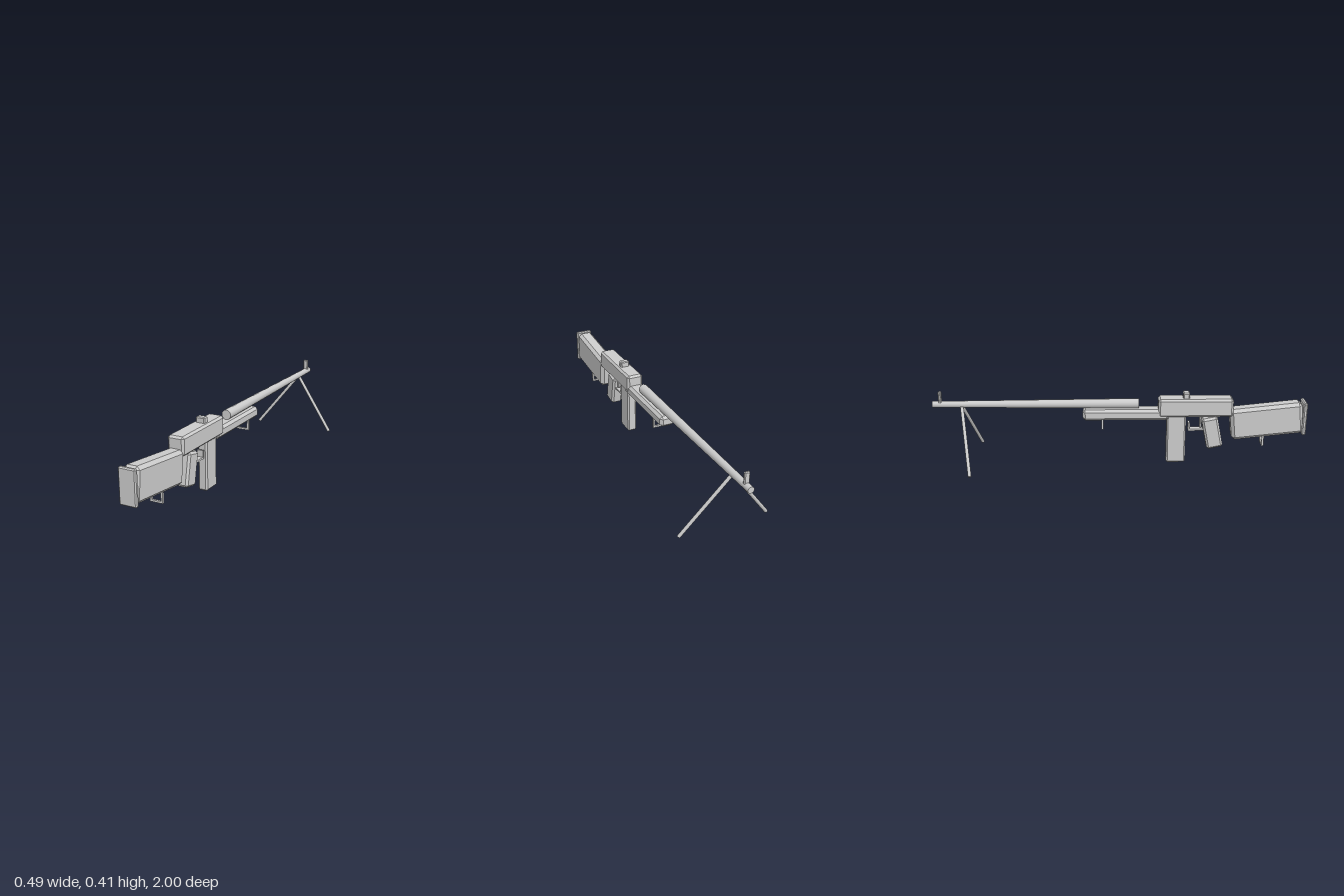
import * as THREE from 'three';
import { ConvexGeometry } from 'three/addons/geometries/ConvexGeometry.js';

const material = new THREE.MeshStandardMaterial({ color: 0xcccccc });

// Box with every edge cut by a flat chamfer c
function chamferBox(w, h, d, c) {
  const points = [];
  for (const x of [-1, 1]) for (const y of [-1, 1]) for (const z of [-1, 1]) {
    for (let axis = 0; axis < 3; axis++) {
      const inset = [c, c, c];
      inset[axis] = 0;
      points.push(new THREE.Vector3(
        x * (w / 2 - inset[0]), y * (h / 2 - inset[1]), z * (d / 2 - inset[2])));
    }
  }
  return new ConvexGeometry(points);
}

export function createModel() {
  const model = new THREE.Group();

  function add(name, geometry, x, y, z, tilt = 0, parent = model) {
    const mesh = new THREE.Mesh(geometry, material);
    mesh.name = name;
    mesh.position.set(x, y, z);
    mesh.rotation.x = tilt;
    parent.add(mesh);
    return mesh;
  }

  // Main body
  add('receiver', chamferBox(0.09, 0.1, 0.4, 0.011), 0, 0.32, 0.404);
  add('stock', chamferBox(0.086, 0.174, 0.388, 0.017), 0, 0.24, 0.788, -0.105);
  add('buttPlate', chamferBox(0.093, 0.182, 0.022, 0.006), 0, 0.255, 0.989);
  add('handguard', chamferBox(0.082, 0.06, 0.46, 0.014), 0, 0.281, 0.03);
  add('magazine', chamferBox(0.052, 0.28, 0.104, 0.008), 0, 0.14, 0.302);
  add('grip', chamferBox(0.064, 0.176, 0.088, 0.011), 0, 0.172, 0.498, -0.2);

  // Tapered barrel, muzzle towards -z
  const barrel = new THREE.CylinderGeometry(0.017, 0.027, 1.1, 12);
  barrel.rotateX(-Math.PI / 2);
  add('barrel', barrel, 0, 0.337, -0.45);

  // Sights
  add('rearSight', chamferBox(0.05, 0.036, 0.035, 0.005), 0, 0.382, 0.354);
  add('frontSight', chamferBox(0.028, 0.066, 0.015, 0.004), 0, 0.376, -0.958);

  // Trigger and guard
  const guard = new THREE.Group();
  guard.name = 'triggerGuard';
  model.add(guard);
  add('guardBar', new THREE.BoxGeometry(0.034, 0.01, 0.09), 0, 0.188, 0.411, 0, guard);
  add('guardFrontPost', new THREE.BoxGeometry(0.034, 0.042, 0.01), 0, 0.207, 0.371, 0, guard);
  add('guardRearPost', new THREE.BoxGeometry(0.034, 0.042, 0.01), 0, 0.207, 0.451, 0, guard);
  add('trigger', chamferBox(0.016, 0.076, 0.013, 0.003), 0, 0.236, 0.434);

  // U-shaped sling loops under the stock and handguard
  for (const [name, y, z] of [['rearSlingLoop', 0.104, 0.772], ['frontSlingLoop', 0.206, -0.094]]) {
    const loop = new THREE.Group();
    loop.name = name;
    model.add(loop);
    add('loopBar', new THREE.BoxGeometry(0.07, 0.01, 0.011), 0, y, z, 0, loop);
    for (const side of [-1, 1]) {
      add('loopPost', new THREE.BoxGeometry(0.01, 0.06, 0.011), side * 0.03, y + 0.025, z, 0, loop);
    }
  }

  // Splayed bipod legs
  const up = new THREE.Vector3(0, 1, 0);
  for (const side of [-1, 1]) {
    const top = new THREE.Vector3(side * 0.003, 0.33, -0.845);
    const foot = new THREE.Vector3(side * 0.238, 0.021, -0.787);
    const dir = top.clone().sub(foot);
    const mid = top.clone().add(foot).multiplyScalar(0.5);
    const leg = add(side > 0 ? 'leftBipodLeg' : 'rightBipodLeg',
      new THREE.CylinderGeometry(0.009, 0.009, dir.length(), 12), mid.x, mid.y, mid.z);
    leg.quaternion.setFromUnitVectors(up, dir.normalize());
  }

  return model;
}
